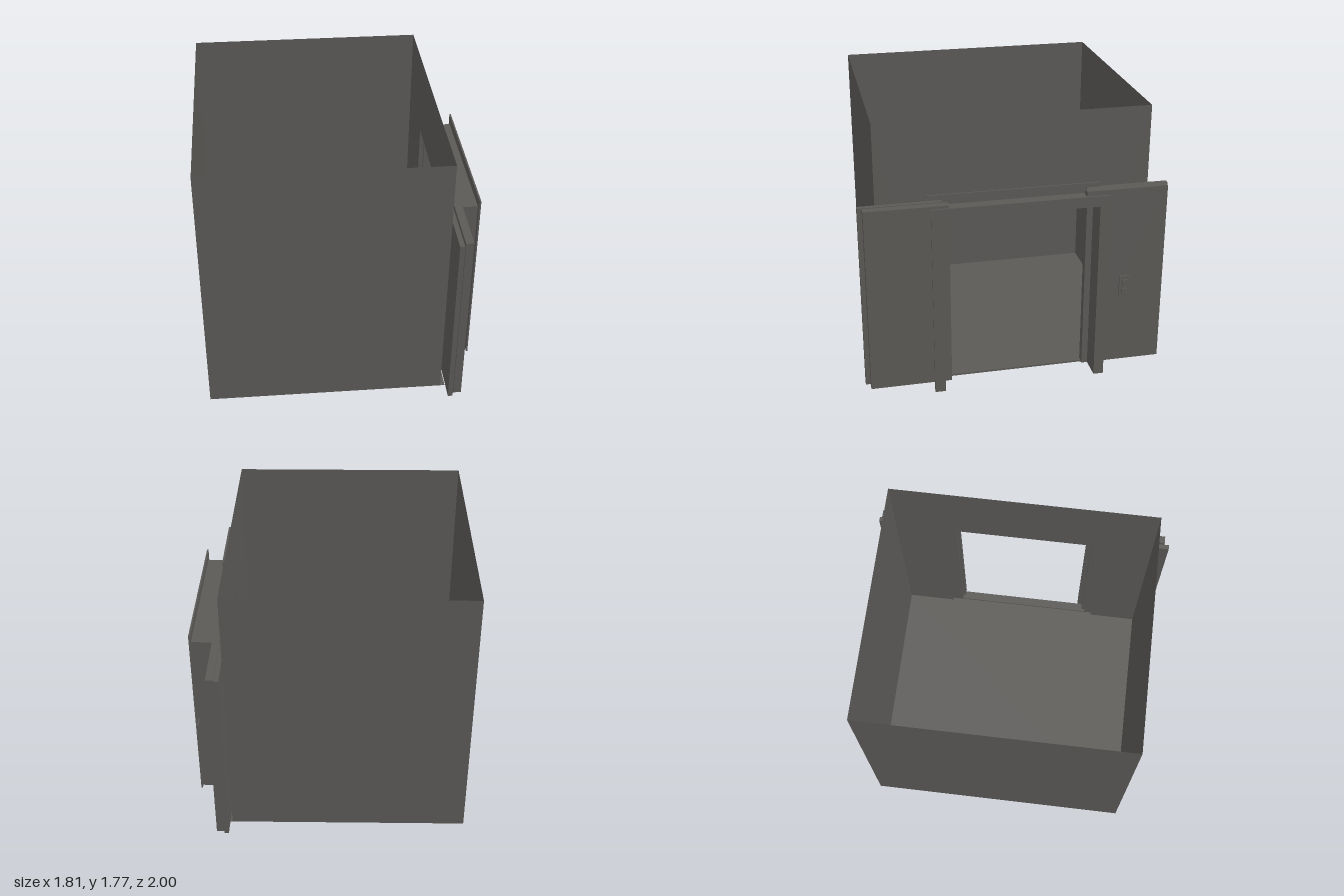
import * as THREE from 'three';

const grey = new THREE.MeshStandardMaterial({ color: 0x5c5a57, side: THREE.DoubleSide });
grey.name = 'steel grey';

export function createModel() {
  const model = new THREE.Group();
  model.name = 'liftCabin';

  const add = (parent, name, geometry) => {
    const mesh = new THREE.Mesh(geometry, grey);
    mesh.name = name;
    parent.add(mesh);
    return mesh;
  };

  // Box given by its minimum and maximum on each axis
  const box = (parent, name, x0, x1, y0, y1, z0, z1) =>
    add(parent, name, new THREE.BoxGeometry(x1 - x0, y1 - y0, z1 - z0))
      .position.set((x0 + x1) / 2, (y0 + y1) / 2, (z0 + z1) / 2);

  // Upright slab facing +x with a doorway cut up from its lower edge
  const portal = (parent, name, x, depth, outer, inner) => {
    const [z0, z1, y0, y1] = outer;
    const [a, b, top] = inner;
    const points = [[z0, y0], [a, y0], [a, top], [b, top], [b, y0], [z1, y0], [z1, y1], [z0, y1]];
    const shape = new THREE.Shape(points.map(([z, y]) => new THREE.Vector2(-z, y)));
    const geometry = depth
      ? new THREE.ExtrudeGeometry(shape, { depth, bevelEnabled: false })
      : new THREE.ShapeGeometry(shape);
    geometry.rotateY(Math.PI / 2);
    add(parent, name, geometry).position.x = x;
  };

  // Open-topped cabin of thin sheets
  const cabin = new THREE.Group();
  cabin.name = 'cabin';
  model.add(cabin);
  const X0 = -0.905, X1 = 0.655, Z0 = -0.88, Z1 = 0.885, H = 1.775;
  for (const [name, z, turn] of [['sideWallFront', Z1, 0], ['sideWallRear', Z0, Math.PI]]) {
    const wall = add(cabin, name, new THREE.PlaneGeometry(X1 - X0, H));
    wall.position.set((X0 + X1) / 2, H / 2, z);
    wall.rotation.y = turn;
  }
  const back = add(cabin, 'backWall', new THREE.PlaneGeometry(Z1 - Z0, H));
  back.position.set(X0, H / 2, (Z0 + Z1) / 2);
  back.rotation.y = -Math.PI / 2;
  portal(cabin, 'doorWall', X1, 0, [Z0, Z1, 0, H], [-0.54, 0.55, 1.26]);
  box(cabin, 'floor', X0, 0.685, 0, 0.004, Z0, Z1);

  // Thin frames on the cabin side and the landing side
  const frameOuter = [-0.555, 0.57, 0.01, 1.29];
  const frameInner = [-0.49, 0.5, 1.225];
  portal(model, 'cabinFrame', 0.67, 0.01, frameOuter, frameInner);
  portal(model, 'landingFrame', 0.892, 0.01, frameOuter, frameInner);

  // Lining between the frames
  box(model, 'lintel', 0.68, 0.892, 1.215, 1.225, -0.525, 0.53);
  box(model, 'rearJamb', 0.75, 0.892, 0.01, 1.225, -0.525, -0.49);
  box(model, 'frontJamb', 0.78, 0.892, 0.01, 1.225, 0.5, 0.53);
  box(model, 'sill', 0.67, 0.73, 0.008, 0.02, -0.49, 0.5);

  // Opened sliding doors: a thin cabin leaf and a thick landing leaf each side
  box(model, 'frontCabinDoor', 0.688, 0.72, 0.01, 1.26, 0.475, 1.0);
  box(model, 'frontLandingDoor', 0.73, 0.782, 0.01, 1.26, 0.44, 0.97);
  box(model, 'rearCabinDoor', 0.668, 0.699, 0.01, 1.26, -1.0, -0.465);
  box(model, 'rearLandingDoor', 0.70, 0.75, 0.01, 1.26, -0.985, -0.45);

  // Call panel with two buttons
  const panel = new THREE.Group();
  panel.name = 'callPanel';
  model.add(panel);
  box(panel, 'panelPlate', 0.857, 0.866, 0.55, 0.7, -0.72, -0.65);
  for (const y of [0.595, 0.655])
    box(panel, 'callButton', 0.866, 0.876, y - 0.018, y + 0.018, -0.702, -0.668);

  return model;
}
